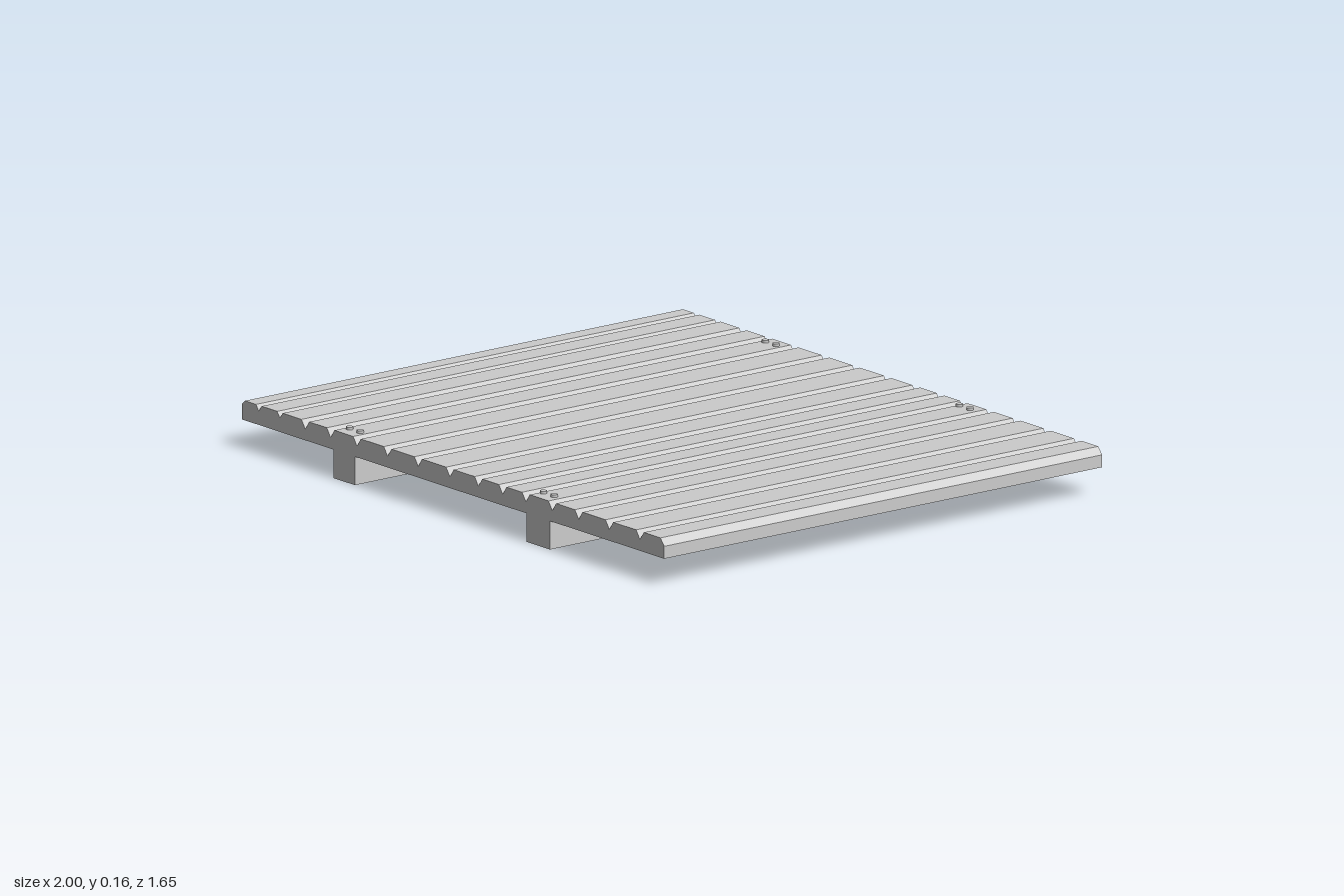
import * as THREE from 'three';

const DEPTH = 1.65, TOP = 0.147, UNDER = 0.087;
const material = new THREE.MeshStandardMaterial({ color: 0xcccccc });

function addMesh(parent, name, geometry, x = 0, y = 0, z = 0) {
  const mesh = new THREE.Mesh(geometry, material);
  mesh.name = name;
  mesh.position.set(x, y, z);
  parent.add(mesh);
}

// Deck cross-section: flat underside, planks separated by V grooves
function deckGeometry() {
  const grooves = [-0.92, -0.82, -0.70, -0.58, -0.455, -0.31, -0.165, -0.015,
    0.12, 0.235, 0.345, 0.47, 0.595, 0.74, 0.885];
  const shape = new THREE.Shape();
  shape.moveTo(-1, UNDER);
  shape.lineTo(1, UNDER);
  shape.lineTo(1, 0.125);
  shape.lineTo(0.982, TOP);
  for (const x of [...grooves].reverse()) {
    const half = x < -0.75 ? 0.013 : 0.018;
    shape.lineTo(x + half, TOP);
    shape.lineTo(x, x < -0.75 ? 0.129 : 0.121);
    shape.lineTo(x - half, TOP);
  }
  shape.lineTo(-0.985, TOP);
  shape.lineTo(-1, 0.135);
  shape.closePath();
  const geometry = new THREE.ExtrudeGeometry(shape, { depth: DEPTH, bevelEnabled: false });
  return geometry.translate(0, 0, -DEPTH / 2);
}

export function createModel() {
  const group = new THREE.Group();
  group.name = 'plankPlatform';
  addMesh(group, 'plankDeck', deckGeometry());

  // Two beams running front to back
  for (const [name, x0, x1] of [['rightBeam', -0.567, -0.465], ['leftBeam', 0.347, 0.459]]) {
    addMesh(group, name, new THREE.BoxGeometry(x1 - x0, UNDER, DEPTH), (x0 + x1) / 2, UNDER / 2, 0);
  }

  // Pairs of nail heads above each beam end
  const nails = new THREE.Group();
  nails.name = 'nailHeads';
  group.add(nails);
  const nail = new THREE.CylinderGeometry(0.011, 0.011, 0.012, 12);
  for (const x of [-0.544, -0.494, 0.374, 0.425]) {
    for (const z of [-0.785, 0.782]) addMesh(nails, 'nailHead', nail, x, 0.149, z);
  }
  return group;
}
